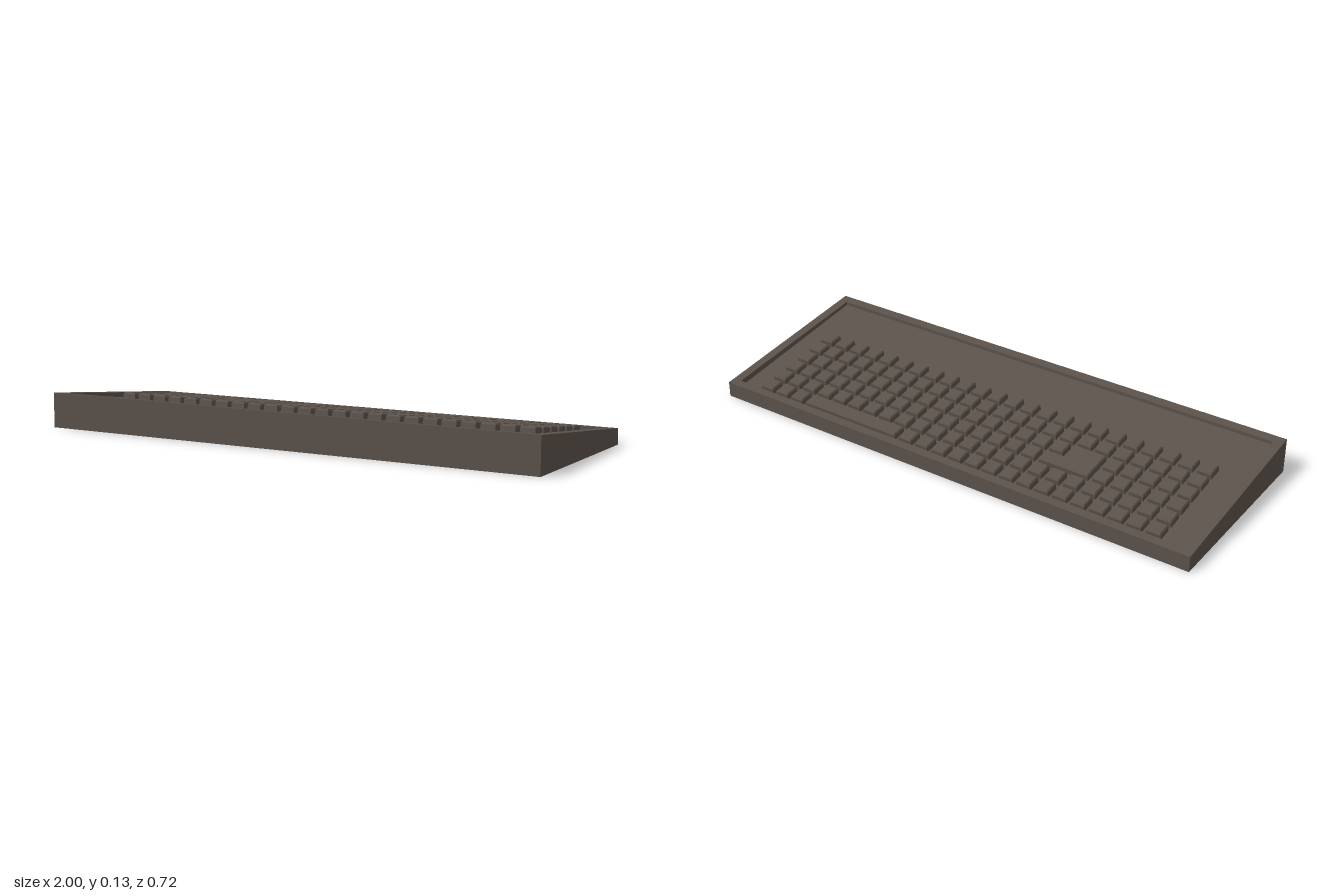
import * as THREE from 'three';

const HALF_X = 1, HALF_Z = 0.358;
const PITCH_X = 0.0732, PITCH_Z = 0.0716, KEY = 0.056;
const FIRST_X = -0.838, BACK_Z = -0.283;
const ROWS = 6, COLS = 24;
const DECK_SLOPE = 0.12, DECK_Y = 0.079;

const rimHeight = (z) => 0.0975 + 0.1047 * z;
const deckHeight = (z) => DECK_Y + DECK_SLOPE * z;

// Shape on the ground plane from [x, z] corners
const planShape = (points) => new THREE.Shape(points.map(([x, z]) => new THREE.Vector2(x, -z)));
const rect = (x0, x1, z0, z1) => [[x0, z1], [x1, z1], [x1, z0], [x0, z0]];

// Upright prism whose top follows a height rule
function slopedPrism(shape, height) {
  const g = new THREE.ExtrudeGeometry(shape, { depth: 1, bevelEnabled: false });
  g.rotateX(-Math.PI / 2);
  const p = g.attributes.position;
  for (let i = 0; i < p.count; i++) p.setY(i, p.getY(i) > 0.5 ? height(p.getZ(i)) : 0);
  g.computeVertexNormals();
  return g;
}

// Keycap with chamfered top edges
function keyGeometry(points) {
  const g = new THREE.ExtrudeGeometry(planShape(points), {
    depth: 0.02, bevelThickness: 0.005, bevelSize: 0.004, bevelOffset: -0.004, bevelSegments: 1,
  });
  return g.rotateX(-Math.PI / 2);
}

export function createModel() {
  const model = new THREE.Group();
  model.name = 'keyboard';
  const plastic = new THREE.MeshStandardMaterial({ color: 0x5b524b });
  plastic.name = 'dark brown plastic';

  const add = (parent, name, geometry, x = 0, z = 0) => {
    const mesh = new THREE.Mesh(geometry, plastic);
    mesh.name = name;
    mesh.position.set(x, 0, z);
    parent.add(mesh);
  };

  // Wedge-shaped case with a sunken deck
  const opening = rect(-0.965, 0.965, -0.327, 0.322);
  const rim = planShape(rect(-HALF_X, HALF_X, -HALF_Z, HALF_Z));
  rim.holes.push(planShape(opening));
  add(model, 'caseRim', slopedPrism(rim, rimHeight));
  add(model, 'deck', slopedPrism(planShape(opening), deckHeight));

  // Keys lie on the tilted deck
  const keys = new THREE.Group();
  keys.name = 'keys';
  keys.position.y = DECK_Y;
  keys.rotation.x = -Math.atan(DECK_SLOPE);
  model.add(keys);

  const h = KEY / 2;
  const colX = (c) => FIRST_X + c * PITCH_X;
  const rowZ = (r) => BACK_Z + r * PITCH_Z;
  const square = keyGeometry(rect(-h, h, -h, h));
  const isWide = (r, c) =>
    (r === 0 && c >= 15 && c <= 20) || (r === 2 && c >= 5 && c <= 7) || (r === 3 && c >= 5 && c <= 6);
  for (let r = 0; r < ROWS; r++) {
    for (let c = 0; c < COLS; c++) {
      if (!isWide(r, c)) add(keys, 'key', square, colX(c), rowZ(r));
    }
  }

  // Long bar and L-shaped key
  add(keys, 'spaceBar', keyGeometry(rect(colX(15) - h, colX(20) + h, rowZ(0) - h, rowZ(0) + h)));
  const left = colX(5) - h, step = colX(6) + h, right = colX(7) + h;
  const back = rowZ(2) - h, notch = rowZ(2) + h, front = rowZ(3) + h;
  add(keys, 'enterKey', keyGeometry([
    [left, front], [step, front], [step, notch], [right, notch], [right, back], [left, back],
  ]));

  return model;
}
